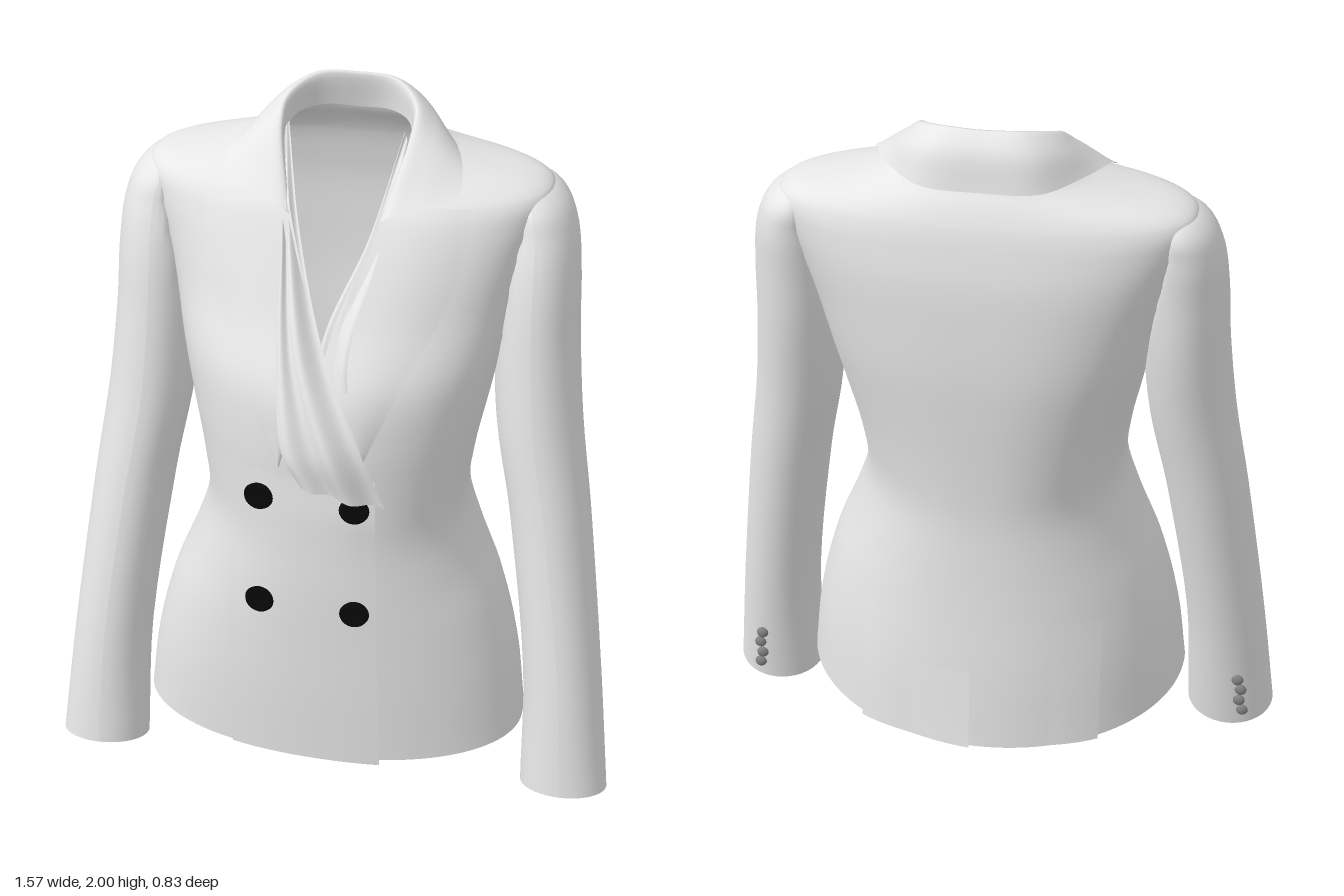
import * as THREE from 'three';

const NF = 2.2; // squareness of the torso's front half

// torso: height, half width, z of widest point, front z, back z, squareness of the back half
const TORSO = [
  [0.18, 0.53, 0.05, 0.32, -0.405, 2.05], [0.4, 0.505, 0.04, 0.33, -0.392, 2.1], [0.6, 0.455, 0.03, 0.335, -0.375, 2.15],
  [0.75, 0.395, 0.02, 0.338, -0.365, 2.2], [0.9, 0.352, 0.01, 0.335, -0.36, 2.2], [1.05, 0.365, 0, 0.333, -0.368, 2.3],
  [1.2, 0.395, -0.03, 0.33, -0.38, 2.4], [1.35, 0.425, -0.06, 0.305, -0.39, 2.6], [1.5, 0.455, -0.1, 0.22, -0.39, 2.7],
  [1.62, 0.49, -0.13, 0.16, -0.385, 2.7], [1.72, 0.525, -0.15, 0.105, -0.368, 2.6], [1.77, 0.53, -0.16, 0.07, -0.355, 2.4],
  [1.8, 0.48, -0.165, 0.035, -0.342, 2.3], [1.83, 0.345, -0.17, 0.01, -0.325, 2.3], [1.86, 0.245, -0.18, -0.02, -0.302, 2.3],
  [1.9, 0.195, -0.19, -0.06, -0.285, 2.3],
];
// sleeve: height, centre x, radius x, centre z, radius z
const SLEEVE = [
  [0.03, 0.662, 0.122, 0.125, 0.105], [0.39, 0.637, 0.108, 0.07, 0.12], [0.86, 0.575, 0.11, -0.01, 0.135],
  [1.13, 0.53, 0.115, -0.055, 0.142], [1.37, 0.51, 0.112, -0.095, 0.15], [1.55, 0.505, 0.108, -0.12, 0.148],
  [1.68, 0.5, 0.094, -0.145, 0.135], [1.76, 0.482, 0.064, -0.16, 0.105], [1.796, 0.455, 0.003, -0.17, 0.004],
];

// smooth lookup of a section table by height
function section(table, y) {
  let i = 0;
  while (i < table.length - 2 && y > table[i + 1][0]) i++;
  const a = table[i], b = table[i + 1], p = table[i - 1] || a, q = table[i + 2] || b;
  const h = b[0] - a[0], t = Math.min(1, Math.max(0, (y - a[0]) / h));
  return a.slice(1).map((va, k) => {
    const c = k + 1, vb = b[c];
    const ma = (vb - p[c]) / (b[0] - p[0]) * h, mb = (q[c] - va) / (q[0] - a[0]) * h;
    return va + t * ma + t * t * (3 * (vb - va) - 2 * ma - mb) + t * t * t * (2 * (va - vb) + ma + mb);
  });
}
const heights = (table, n) => table.flatMap((r, i) => i < table.length - 1
  ? Array.from({ length: n }, (_, k) => r[0] + (table[i + 1][0] - r[0]) * k / n) : [r[0]]);

const power = (v, e) => Math.sign(v) * Math.abs(v) ** e;
const arc = (t, n) => Math.max(0, 1 - Math.abs(t) ** n) ** (1 / n);
// depth of the torso's front (side 1) or back (side -1)
function depthAt(x, y, side = 1) {
  const [hw, zm, f, b, nb] = section(TORSO, y);
  return side > 0 ? zm + arc(x / hw, NF) * (f - zm) : zm + arc(x / hw, nb) * (b - zm);
}
// half width of the torso at a given depth
function widthAt(y, z) {
  const [hw, zm, f, b, nb] = section(TORSO, y);
  return hw * (z > zm ? arc((z - zm) / (f - zm), NF) : arc((z - zm) / (b - zm), nb));
}
// depth of the overlapping front panel, fading out at its top
const overlapAt = (x, y) => depthAt(x, y) + 0.002
  + 0.018 * (x + 0.25) / 0.42 * Math.min(1, Math.max(0, (1.12 - y) / 0.12));

// grid surface from a rule (u, v) -> [x, y, z]
function surface(nu, nv, rule) {
  const pos = [], idx = [];
  for (let i = 0; i <= nu; i++) for (let j = 0; j <= nv; j++) pos.push(...rule(i / nu, j / nv));
  for (let i = 0; i < nu; i++) for (let j = 0; j < nv; j++) {
    const a = i * (nv + 1) + j, c = a + nv + 1;
    idx.push(a, a + 1, c, a + 1, c + 1, c);
  }
  const g = new THREE.BufferGeometry();
  g.setAttribute('position', new THREE.Float32BufferAttribute(pos, 3));
  g.setIndex(idx);
  g.computeVertexNormals();
  return g;
}
const curve = (pts) => new THREE.CatmullRomCurve3(pts.map(([x, y, z = 0]) => new THREE.Vector3(x, y, z)));
// surface through several guide curves
function loft(guides, nu, nv, ripple = () => 0) {
  const cs = guides.map(curve);
  return surface(nu, nv, (u, v) => {
    const p = new THREE.CatmullRomCurve3(cs.map((c) => c.getPoint(u))).getPoint(v);
    return [p.x, p.y, p.z + ripple(u, v)];
  });
}

export function createModel() {
  const group = new THREE.Group();
  const fabric = new THREE.MeshStandardMaterial({ color: 0xffffff, side: THREE.DoubleSide });
  const black = new THREE.MeshStandardMaterial({ color: 0x080808 });
  const grey = new THREE.MeshStandardMaterial({ color: 0x808080 });
  fabric.name = 'fabric'; black.name = 'buttonBlack'; grey.name = 'cuffButtonGrey';
  const add = (name, geometry, material = fabric) => {
    const m = new THREE.Mesh(geometry, material);
    m.name = name;
    group.add(m);
    return m;
  };

  // torso shell, open along the neckline V
  const ys = heights(TORSO, 4);
  add('torso', surface(ys.length - 1, 96, (u, v) => {
    const y = ys[Math.round(u * (ys.length - 1))];
    const [hw, zm, f, b, nb] = section(TORSO, y);
    const gap = Math.max(0, (y - 1.42) / 0.48) * 0.165;
    const a0 = Math.asin(Math.min(1, (gap / hw) ** (NF / 2)));
    const a = a0 + (2 * Math.PI - 2 * a0) * v, c = Math.cos(a), e = 2 / (c > 0 ? NF : nb);
    const hem = y < 0.4 ? 0.02 * Math.sin(a) ** 2 * (0.4 - y) / 0.22 : 0;
    return [hw * power(Math.sin(a), e), y + hem, zm + (c > 0 ? f - zm : zm - b) * power(c, e)];
  }));

  // overlapping front panel
  add('frontOverlap', surface(24, 12, (u, v) => {
    const y = 0.18 + 0.93 * u, x = -0.25 + (0.42 - 0.02 * u) * v;
    return [x, y, overlapAt(x, y)];
  }));

  // back vent flaps, running from an inner to a raised outer edge
  const vent = (name, from, to, height, lift) => add(name, surface(10, 8, (u, v) => {
    const y = 0.185 + height * u, x = from + (to - from) * v;
    return [x, y, depthAt(x, y, -1) - 0.002 - lift * v * (1 - u)];
  }));
  vent('centreVentFlap', 0.18, 0.015, 0.24, 0.014);

  for (const s of [1, -1]) {
    const side = s > 0 ? 'left' : 'right';
    vent(side + 'VentFlap', s * 0.2, s * 0.33, 0.38, 0.012);

    // sleeve with a slanted cuff, resting against the torso
    const sy = heights(SLEEVE, 5);
    add(side + 'Sleeve', surface(sy.length - 1, 40, (u, v) => {
      const y = sy[Math.round(u * (sy.length - 1))], a = v * 2 * Math.PI;
      const [cx, rx, cz, rz] = section(SLEEVE, y);
      const dz = rz * Math.cos(a), x = cx + rx * Math.sin(a);
      return [s * (y > 1.2 ? Math.max(x, widthAt(y, cz + dz) - 0.005) : x),
        y + 0.26 * dz * Math.max(0, 1 - y), cz + dz];
    }));

    // cuff buttons
    for (let i = 0; i < 4; i++) {
      const y = 0.09 + i * 0.042, [cx, rx, cz, rz] = section(SLEEVE, y), a = 2.75 + 0.06 * (i % 2);
      const b = add(side + 'CuffButton' + (i + 1), new THREE.SphereGeometry(0.017, 12, 8), grey);
      b.scale.z = 0.6;
      b.position.set(s * (cx + rx * Math.sin(a)), y - 0.025, cz + rz * Math.cos(a) - 0.006);
    }

    // lapel lying on the chest
    const inner = curve([[0.1, 1.14], [0.035, 1.42], [0.075, 1.6], [0.135, 1.79]]);
    const outer = curve([[0.105, 1.14], [0.2, 1.36], [0.325, 1.6], [0.34, 1.775]]);
    add(side + 'Lapel', surface(30, 10, (u, v) => {
      const p = inner.getPoint(u).lerp(outer.getPoint(u), v);
      return [s * p.x, p.y, depthAt(p.x, p.y) + 0.005 + 0.006 * Math.sin(Math.PI * v)];
    }));
  }

  // rolled collar: inner stand, rim, roll and outer edge, mirrored about the back
  const mirrored = (h) => [...h, ...h.slice(0, -1).reverse().map(([x, y, z]) => [-x, y, z])];
  add('collar', loft([
    [[0.11, 1.73, 0.06], [0.16, 1.87, -0.09], [0.15, 1.9, -0.17], [0.09, 1.9, -0.24], [0, 1.89, -0.265]],
    [[0.12, 1.75, 0.085], [0.17, 1.92, -0.08], [0.165, 1.965, -0.16], [0.1, 1.995, -0.23], [0, 1.998, -0.245]],
    [[0.2, 1.785, 0.055], [0.22, 1.9, -0.08], [0.21, 1.93, -0.19], [0.13, 1.955, -0.275], [0, 1.96, -0.29]],
    [[0.31, 1.79, 0.02], [0.3, 1.845, -0.08], [0.25, 1.865, -0.2], [0.15, 1.86, -0.3], [0, 1.86, -0.315]],
  ].map(mirrored), 60, 18));

  // draped scarf ends inside the V, with soft folds
  const folds = (n, d) => (u, v) => d * Math.sin(v * Math.PI * n) * Math.min(1, 0.3 + u);
  add('scarfUnder', loft([
    [[0.15, 1.92, -0.09], [0.09, 1.7, 0.08], [-0.01, 1.44, 0.23], [0.02, 1.2, 0.33]],
    [[0.16, 1.89, -0.08], [0.125, 1.68, 0.13], [0.07, 1.43, 0.28], [0.12, 1.18, 0.345]],
  ], 30, 18, folds(3, 0.008)));
  add('scarfOver', loft([
    [[-0.16, 1.89, -0.08], [-0.13, 1.7, 0.125], [-0.11, 1.43, 0.3], [-0.08, 1.22, 0.39], [-0.03, 1.13, 0.4]],
    [[-0.158, 1.91, -0.085], [-0.115, 1.7, 0.12], [-0.06, 1.44, 0.3], [0.02, 1.22, 0.39], [0.07, 1.09, 0.385]],
    [[-0.15, 1.92, -0.09], [-0.09, 1.71, 0.09], [0.005, 1.45, 0.26], [0.11, 1.24, 0.355], [0.18, 1.05, 0.345]],
  ], 36, 30, folds(4, 0.012)));

  // double row of front buttons
  const profile = [[0, 0], [0.037, 0], [0.04, 0.006], [0.037, 0.013], [0.03, 0.015], [0.022, 0.011], [0, 0.011]];
  const button = new THREE.LatheGeometry(profile.map(([x, y]) => new THREE.Vector2(x, y)), 24).rotateX(Math.PI / 2);
  for (const [x, y] of [[-0.157, 1.035], [0.1, 1.035], [-0.157, 0.71], [0.103, 0.71]]) {
    const b = add('frontButton', button, black);
    b.position.set(x, y, overlapAt(x, y) + 0.003);
    b.rotation.y = x * 0.8;
  }
  return group;
}
